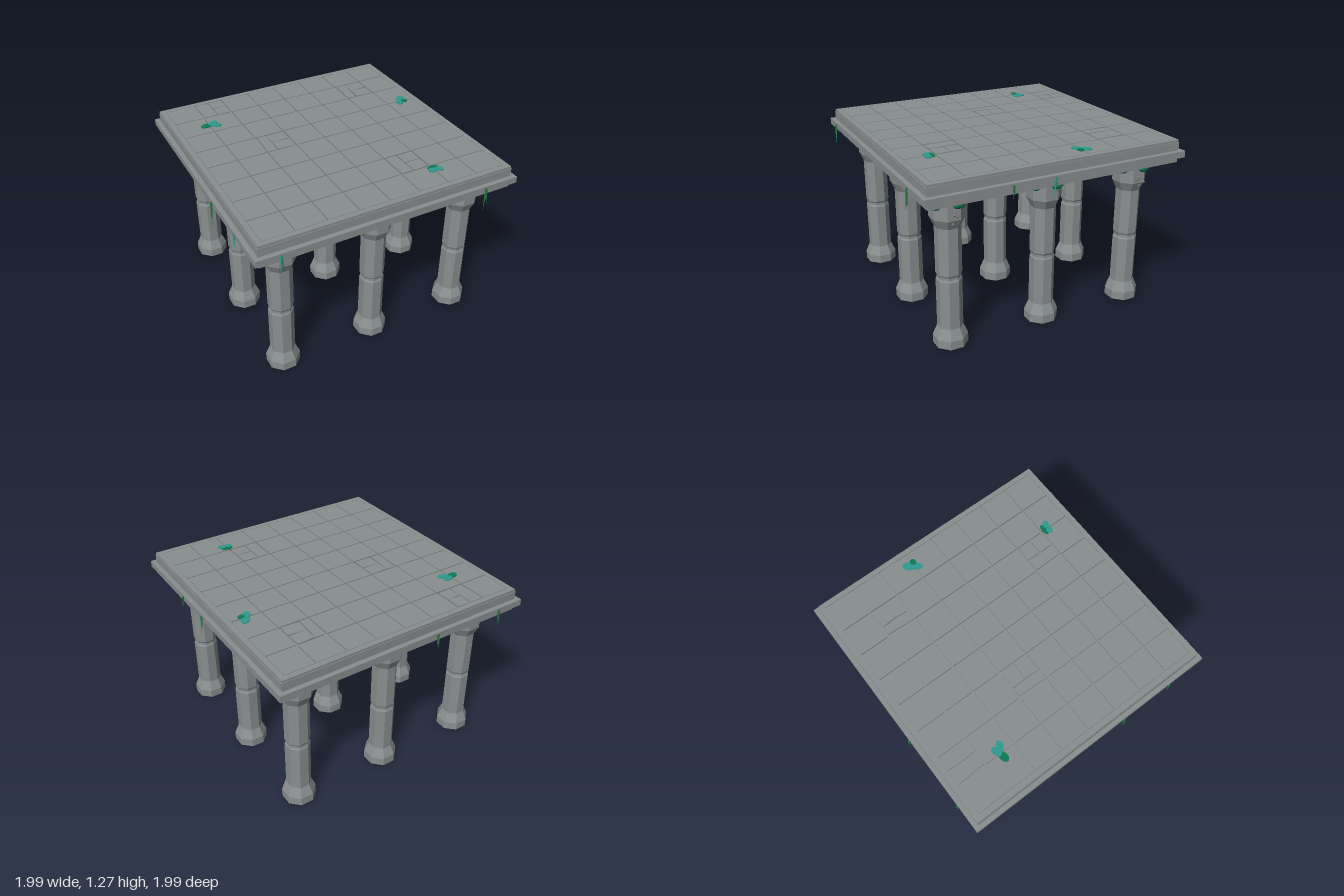
import * as THREE from 'three';

const mat = (name, color, side = THREE.FrontSide) => {
  const m = new THREE.MeshStandardMaterial({ color, flatShading: true, side });
  m.name = name;
  return m;
};

export function createModel() {
  const stone = mat('stone', 0x898e8f, THREE.DoubleSide);
  const pebbleMat = mat('pebble grey', 0x767a78);
  const moss = mat('moss green', 0x0d7853);
  const teal = mat('teal moss', 0x2d9a8f);
  const vineMat = mat('vine green', 0x22753a);

  const root = new THREE.Group();
  root.name = 'pavilion';
  const group = (name, parent = root) => {
    const g = new THREE.Group();
    g.name = name;
    parent.add(g);
    return g;
  };
  const add = (parent, name, geo, material, x, y, z) => {
    const m = new THREE.Mesh(geo, material);
    m.name = name;
    m.position.set(x, y, z);
    parent.add(m);
    return m;
  };
  // stone block given by its bottom and top heights
  const block = (parent, name, w, y0, y1, d, x = 0, z = 0) =>
    add(parent, name, new THREE.BoxGeometry(w, y1 - y0, d), stone, x, (y0 + y1) / 2, z);

  // stepped roof slab
  const roof = group('roof');
  roof.position.z = 0.005;
  block(roof, 'lowerSlab', 1.89, 1.1, 1.14, 1.89);
  block(roof, 'rim', 1.96, 1.14, 1.187, 1.96);
  block(roof, 'upperSlab', 1.894, 1.187, 1.247, 1.894);
  for (const s of [-1, 1]) {
    block(roof, 'borderEnd', 1.886, 1.247, 1.264, 0.038, 0, s * 0.924);
    block(roof, 'borderSide', 0.038, 1.247, 1.264, 1.81, s * 0.924, 0);
  }

  // paving tiles, four of them broken in three
  const tiles = group('tiles', roof);
  const pitch = 0.2265, size = 0.217;
  const broken = { '1,0': [0.108, 0.05], '6,1': [0.078, -0.06], '2,3': [0.076, -0.05], '5,6': [0.095, 0.02] };
  for (let i = 0; i < 8; i++) for (let j = 0; j < 8; j++) {
    const x = (i - 3.5) * pitch, z = (j - 3.5) * pitch;
    const b = broken[`${i},${j}`];
    if (!b) {
      block(tiles, 'tile', size, 1.247, 1.264, size, x, z);
      continue;
    }
    const [w, turn] = b, rest = size - w;
    block(tiles, 'brokenTile', w - 0.012, 1.247, 1.264, size - 0.006, x - size / 2 + w / 2, z)
      .rotation.y = turn;
    for (const s of [-1, 1])
      block(tiles, 'brokenTile', rest - 0.012, 1.247, 1.264, 0.1, x + size / 2 - rest / 2, z + s * 0.054)
        .rotation.y = turn * s;
  }

  // hollow octagonal column with flared foot and head and a pinched waist
  const flat = Math.cos(Math.PI / 8);
  const profile = [[0.112, 0], [0.112, 0.063], [0.0825, 0.137], [0.0825, 0.492], [0.076, 0.506],
    [0.076, 0.524], [0.0825, 0.538], [0.0825, 0.876], [0.112, 0.943], [0.112, 1.1]]
    .map(([r, y]) => new THREE.Vector2(r / flat, y));
  const columnGeo = new THREE.LatheGeometry(profile, 8).rotateY(Math.PI / 8);
  const blobGeo = new THREE.SphereGeometry(1, 8, 5);
  const pebbleGeo = new THREE.IcosahedronGeometry(0.012, 0);
  // angle, half width, half height, growth along x, material of each moss clump
  const clumps = [[0.38, 0.056, 0.037, 0.15, moss], [1.87, 0.06, 0.038, -0.15, moss],
    [3.48, 0.036, 0.035, 0, teal], [5.05, 0.037, 0.036, 0, teal]];
  const pebbles = [[0.95, 0.04], [0.985, 0], [0.975, -0.018], [0.92, 0.01]];
  for (let i = -1; i <= 1; i++) for (let j = -1; j <= 1; j++) {
    const g = group('column');
    g.position.set(i * 0.717, 0, j * 0.716 + 0.009);
    add(g, 'shaft', columnGeo, stone, 0, 0, 0);
    for (const [a, w, h, growth, m] of clumps) {
      const grow = 1 + growth * i;
      const c = add(g, 'mossClump', blobGeo, m, Math.sin(a) * 0.118, 1.056, Math.cos(a) * 0.118);
      c.rotation.y = a;
      c.scale.set(w * grow, h * grow, 0.035);
    }
    const count = i && j && (i > 0 || j > 0) ? 4 : i === 0 && j === 0 ? 2 : 0;
    for (const [y, z] of pebbles.slice(0, count))
      add(g, 'pebble', pebbleGeo, pebbleMat, y > 0.94 ? 0.117 : 0.108, y, z * (j || 1));
  }

  // flat moss leaves on the paving: x, z, half length, half width, turn, material
  const leafGeo = new THREE.CylinderGeometry(1, 1, 0.007, 9);
  const leaves = [
    [-0.705, -0.55, 0.043, 0.028, 0.2, moss], [-0.65, -0.568, 0.042, 0.025, 0.35, teal], [-0.635, -0.53, 0.042, 0.026, -0.4, teal],
    [0.815, -0.25, 0.046, 0.032, 0.9, teal], [0.785, -0.205, 0.046, 0.028, 0.9, teal], [0.822, -0.205, 0.026, 0.022, 0, moss],
    [0.458, 0.715, 0.045, 0.022, 0, moss], [0.435, 0.742, 0.026, 0.026, 0.3, teal], [0.485, 0.747, 0.032, 0.024, -0.4, teal]];
  const leafGroup = group('roofMoss');
  leaves.forEach(([x, z, l, w, turn, m], k) => {
    const leaf = add(leafGroup, 'mossLeaf', leafGeo, m, x, 1.266 + (k % 3) * 0.001, z);
    leaf.scale.set(l, 1, w);
    leaf.rotation.y = turn;
  });

  // hanging vines, two strands each, leaning outward: x, z, lowest point, material
  const vines = [[-0.81, 0.988, 1.02, teal], [0.715, 0.988, 1.0, vineMat], [-0.765, -0.979, 1.04, vineMat],
    [-0.22, -0.979, 1.045, vineMat], [-0.983, 0.272, 1.0, vineMat], [-0.983, 0.67, 1.08, teal],
    [0.983, 0.083, 1.03, teal], [0.983, 0.385, 1.08, vineMat]];
  const vineGroup = group('vines');
  for (const [x, z, low, m] of vines) {
    const onEnd = Math.abs(z) > Math.abs(x);
    for (const s of [-1, 1]) {
      const len = (1.175 - low) * (s < 0 ? 1 : 0.8);
      const geo = new THREE.ConeGeometry(0.009, len, 5).rotateX(Math.PI).translate(0, -len / 2, 0);
      const strand = add(vineGroup, 'vineStrand', geo, s < 0 ? m : vineMat, x, 1.175, z);
      strand.rotation.z = onEnd ? s * 0.09 : Math.sign(x) * 0.07;
      strand.rotation.x = onEnd ? -Math.sign(z) * 0.07 : s * 0.09;
    }
  }
  return root;
}
